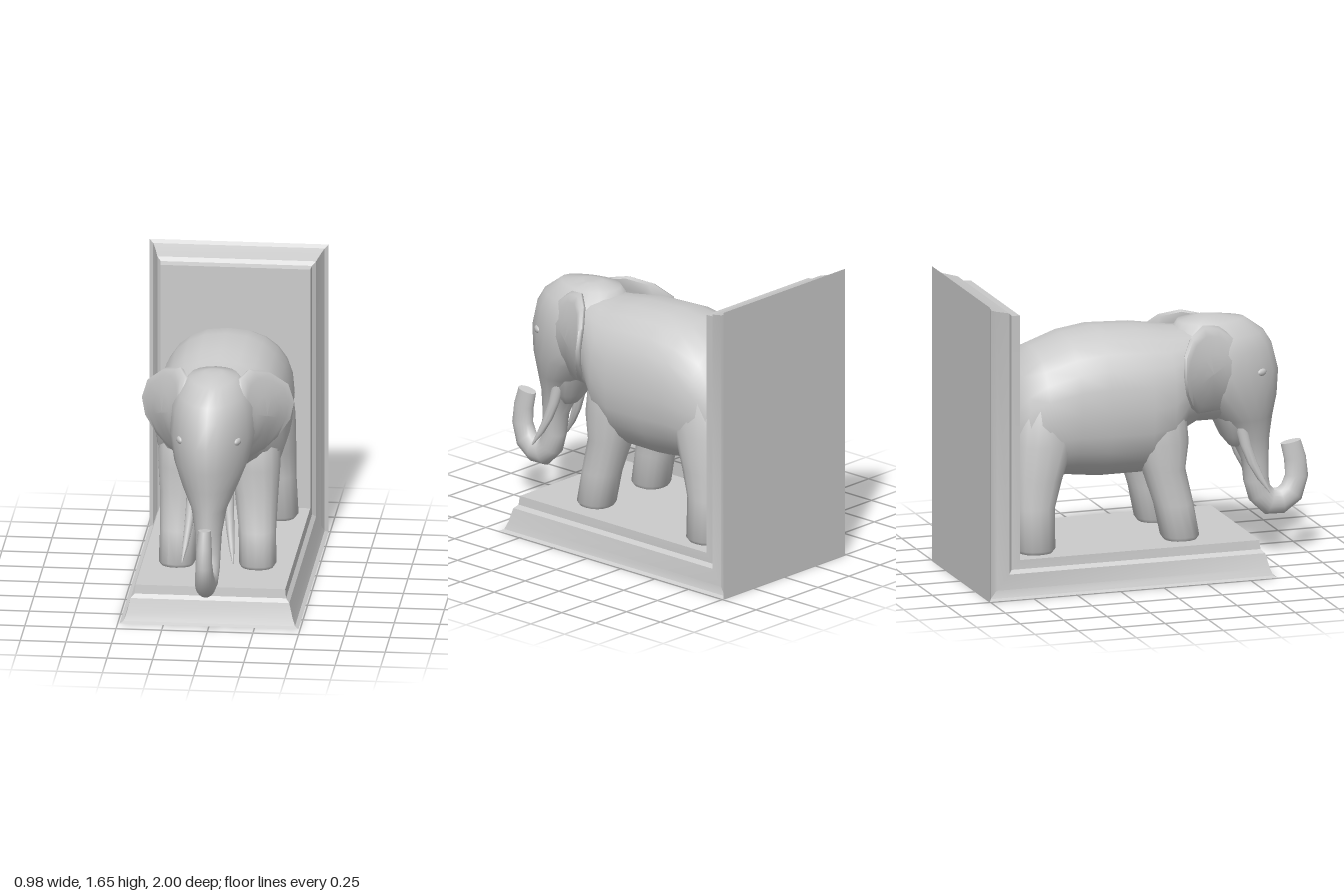
import * as THREE from 'three';
import { toCreasedNormals } from 'three/addons/utils/BufferGeometryUtils.js';

const material = new THREE.MeshStandardMaterial({ color: 0xcccccc });
const V = (x, y, z) => new THREE.Vector3(x, y, z);

// Skin a stack of closed rings, cap both ends and make the faces point outwards.
function loft(name, rings, { cap = null, crease = 0.9 } = {}) {
  const n = rings[0].length, points = rings.flat(), tris = [];
  const capTris = cap || Array.from({ length: n - 2 }, (_, i) => [0, i + 1, i + 2]);
  const last = (rings.length - 1) * n;
  for (let r = 0; r < rings.length - 1; r++) {
    for (let i = 0; i < n; i++) {
      const a = r * n + i, b = r * n + (i + 1) % n;
      tris.push([a, b, b + n], [a, b + n, a + n]);
    }
  }
  for (const [a, b, c] of capTris) tris.push([a, c, b], [last + a, last + b, last + c]);
  let volume = 0;
  const cross = new THREE.Vector3();
  for (const [a, b, c] of tris) volume += points[a].dot(cross.crossVectors(points[b], points[c]));
  if (volume < 0) tris.forEach((t) => t.reverse());
  const geometry = new THREE.BufferGeometry().setFromPoints(points);
  geometry.setIndex(tris.flat());
  const mesh = new THREE.Mesh(toCreasedNormals(geometry, crease), material);
  mesh.name = name;
  return mesh;
}

// Rounded ring of unit points; power below 1 makes it boxier.
function unitRing(n, power = 1) {
  const bend = (v) => Math.sign(v) * Math.pow(Math.abs(v), power);
  return Array.from({ length: n }, (_, i) => {
    const a = (i / n) * Math.PI * 2;
    return [bend(Math.cos(a)), bend(Math.sin(a))];
  });
}

// Bookend: an L-shaped slab with one mitred moulding running round it.
function createBookend() {
  const moulding = [[0, 0], [0.02, 0.01], [0.035, 0.05], [0.055, 0.13], [0.075, 0.15], [0.08, 0.2]];
  const rings = moulding.map(([inset, h]) => {
    const x = 0.49 - inset, side = [[h, 0.66 - inset], [h, -1 + h], [1.655 - inset, -1 + h]];
    return [...side.map(([y, z]) => V(x, y, z)), ...side.reverse().map(([y, z]) => V(-x, y, z))];
  });
  return loft('bookend', rings, { cap: [[0, 1, 4], [0, 4, 5], [1, 2, 3], [1, 3, 4]], crease: 0.5 });
}

// Body: upright sections from rump to neck [z, top, bottom, half width].
function createBody() {
  const sections = [
    [-0.775, 1.0, 0.72, 0.17], [-0.755, 1.08, 0.64, 0.26], [-0.7, 1.2, 0.6, 0.31],
    [-0.6, 1.29, 0.58, 0.345], [-0.42, 1.355, 0.57, 0.36], [-0.25, 1.38, 0.55, 0.365],
    [0, 1.37, 0.55, 0.36], [0.13, 1.35, 0.6, 0.34], [0.22, 1.335, 0.76, 0.3],
    [0.32, 1.33, 0.805, 0.25], [0.45, 1.3, 0.8, 0.2], [0.55, 1.2, 0.85, 0.12],
  ];
  const ring = unitRing(24, 0.85);
  return loft('body', sections.map(([z, top, bottom, w]) => ring.map(([c, s]) =>
    V(c * w, (top + bottom) / 2 + s * (top - bottom) / 2, z))));
}

// Head and trunk: one skin along a spine [y, z, half depth, half width, tilt in degrees].
function createHead() {
  const spine = [
    [1.383, 0.42, 0.06, 0.05, 0], [1.36, 0.44, 0.19, 0.13, 0], [1.28, 0.47, 0.27, 0.19, 0],
    [1.2, 0.48, 0.31, 0.22, 0], [1.06, 0.49, 0.335, 0.23, 0], [0.92, 0.56, 0.255, 0.2, 0],
    [0.8, 0.625, 0.165, 0.15, 0], [0.68, 0.665, 0.11, 0.095, 0], [0.55, 0.695, 0.075, 0.072, 0],
    [0.44, 0.7, 0.07, 0.068, 8], [0.36, 0.72, 0.07, 0.066, 35], [0.305, 0.775, 0.074, 0.062, 70],
    [0.305, 0.845, 0.074, 0.058, 100], [0.35, 0.905, 0.072, 0.052, 140], [0.44, 0.935, 0.065, 0.046, 175],
    [0.54, 0.925, 0.062, 0.042, 188], [0.632, 0.9, 0.058, 0.035, 190],
  ];
  const ring = unitRing(20);
  return loft('headAndTrunk', spine.map(([y, z, depth, w, tilt]) => {
    const t = THREE.MathUtils.degToRad(tilt), taper = tilt === 0 ? 0.22 : 0;
    return ring.map(([c, s]) =>
      V(c * w * (1 - taper * s), y + s * depth * Math.sin(t), z + s * depth * Math.cos(t)));
  }));
}

// Stack of level sections [y, x, z, half width, half depth].
function column(name, sections, power = 0.85) {
  const ring = unitRing(16, power);
  return loft(name, sections.map(([y, x, z, w, d]) => ring.map(([c, s]) => V(x + c * w, y, z + s * d))));
}

// Ear: rings shrink from the rim to a hollow outer face and a rounded inner face.
function createEar(side) {
  const outline = [
    [0.56, 1.2], [0.52, 1.29], [0.43, 1.355], [0.33, 1.375], [0.23, 1.335], [0.16, 1.25], [0.15, 1.14],
    [0.17, 1.04], [0.22, 0.95], [0.28, 0.895], [0.38, 0.885], [0.47, 0.87], [0.53, 0.95], [0.56, 1.08],
  ];
  const layers = [[0.02, -0.015], [0.45, -0.012], [0.8, -0.005], [0.95, 0.004], [1, -0.015],
    [0.96, -0.04], [0.7, -0.07], [0.3, -0.08], [0.02, -0.08]];
  const rings = layers.map(([scale, offset]) => outline.map(([oz, oy]) => {
    const z = 0.36 + (oz - 0.36) * scale, y = 1.12 + (oy - 1.12) * scale;
    const x = 0.2 + 0.55 * (0.55 - z) - 1.8 * (y - 1.12) ** 2 + offset;
    return V(side * x, y, z);
  }));
  return loft('ear', rings, { crease: 1.2 });
}

// Tusk: a tapering curve from the lip, down and forward.
function createTusk(side) {
  const sections = [[0.76, 0.1, 0.58, 0.03, 0.035], [0.66, 0.105, 0.605, 0.027, 0.032],
    [0.56, 0.115, 0.64, 0.023, 0.028], [0.47, 0.127, 0.685, 0.016, 0.021], [0.39, 0.14, 0.735, 0.004, 0.005]];
  return column('tusk', sections.map(([y, x, ...rest]) => [y, side * x, ...rest]), 1);
}

function createEye(side) {
  const eye = new THREE.Mesh(new THREE.SphereGeometry(0.03, 10, 8), material);
  eye.scale.set(0.5, 0.7, 1.1);
  eye.position.set(side * 0.158, 1.075, 0.68);
  eye.rotation.y = side * -0.45;
  eye.name = 'eye';
  return eye;
}

export function createModel() {
  const model = new THREE.Group();
  model.name = 'elephantBookend';
  const elephant = new THREE.Group();
  elephant.name = 'elephant';
  model.add(createBookend(), elephant);

  elephant.add(createBody(), createHead());
  elephant.add(column('lowerJaw', [[0.95, 0, 0.5, 0.17, 0.15], [0.82, 0, 0.54, 0.14, 0.1],
    [0.7, 0, 0.565, 0.1, 0.07], [0.64, 0, 0.575, 0.05, 0.03]], 1));

  const foreLeg = [[0.2, 0.22, 0.185, 0.09, 0.09], [0.22, 0.22, 0.185, 0.102, 0.105],
    [0.4, 0.215, 0.15, 0.103, 0.108], [0.6, 0.205, 0.095, 0.12, 0.118],
    [0.75, 0.195, 0.085, 0.14, 0.15], [0.95, 0.18, 0.06, 0.15, 0.16], [1.1, 0.16, 0.04, 0.12, 0.12]];
  const hindLeg = [[0.2, 0.245, -0.66, 0.1, 0.095], [0.22, 0.245, -0.66, 0.115, 0.11],
    [0.45, 0.24, -0.66, 0.108, 0.112], [0.6, 0.23, -0.64, 0.12, 0.135],
    [0.8, 0.205, -0.6, 0.145, 0.17], [1.0, 0.18, -0.57, 0.15, 0.18], [1.12, 0.16, -0.55, 0.12, 0.13]];
  for (const side of [1, -1]) {
    const mirror = ([y, x, ...rest]) => [y, side * x, ...rest];
    elephant.add(column('foreLeg', foreLeg.map(mirror)), column('hindLeg', hindLeg.map(mirror)));
    elephant.add(createEar(side), createTusk(side), createEye(side));
  }
  return model;
}
